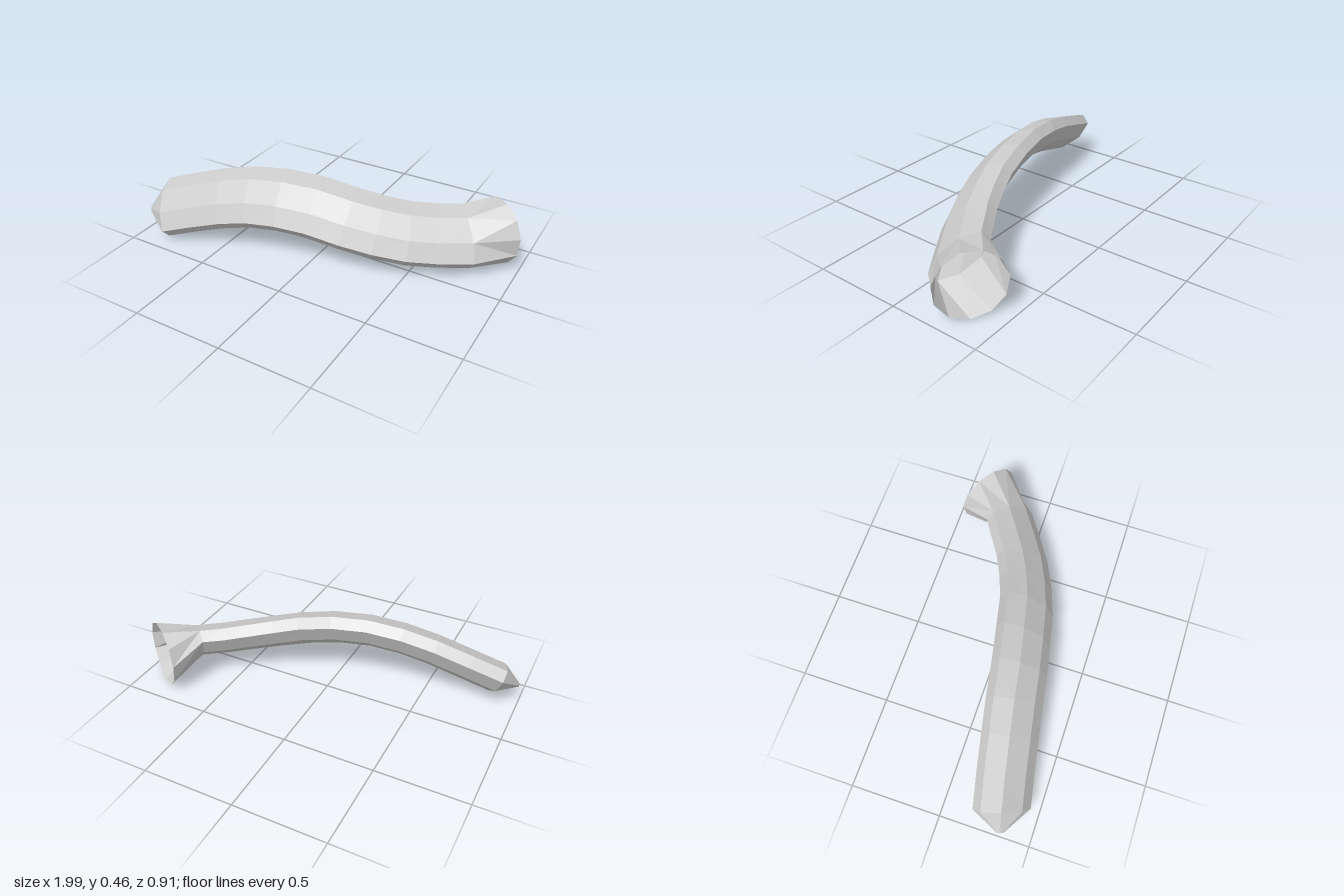
import * as THREE from 'three';

// Centre line from the blunt tip to the middle of the open mouth
const PATH = [
  [-0.988, 0.115, 0.337], [-0.875, 0.148, 0.31], [-0.7, 0.21, 0.272], [-0.52, 0.27, 0.237],
  [-0.355, 0.31, 0.205], [-0.18, 0.327, 0.175], [0, 0.318, 0.138], [0.18, 0.283, 0.1],
  [0.325, 0.25, 0.05], [0.47, 0.222, -0.015], [0.6, 0.206, -0.095], [0.725, 0.2, -0.175],
  [0.85, 0.183, -0.355],
].map((p) => new THREE.Vector3(...p));

const SIDES = 8;
const LONG = 0.18, THIN = 0.085; // half axes of the oval section
const TILT = THREE.MathUtils.degToRad(40);
const MOUTH_SIDES = 11, MOUTH_RADIUS = 0.183;
// Body corner that each mouth corner joins
const MOUTH_JOIN = [0, 0, 1, 1, 2, 2, 3, 4, 5, 6, 7];

// Tilted oval section, square to the centre line
function bodyRing(k, scale) {
  const tangent = PATH[k + 1].clone().sub(PATH[Math.max(k - 1, 0)]).normalize();
  const side = tangent.clone().cross(new THREE.Vector3(0, 1, 0)).normalize();
  const up = side.clone().cross(tangent);
  return Array.from({ length: SIDES }, (_, i) => {
    const t = ((i + 0.5) / SIDES) * Math.PI * 2;
    const l = LONG * scale * Math.cos(t), w = THIN * scale * Math.sin(t);
    return PATH[k].clone()
      .addScaledVector(side, -l * Math.cos(TILT) + w * Math.sin(TILT))
      .addScaledVector(up, l * Math.sin(TILT) + w * Math.cos(TILT));
  });
}

// Round upright rim of the mouth
function mouthRing() {
  const side = new THREE.Vector3(0.82, 0, 0.57).normalize();
  return Array.from({ length: MOUTH_SIDES }, (_, j) => {
    const a = THREE.MathUtils.degToRad(142 - (j * 360) / MOUTH_SIDES);
    const p = PATH[PATH.length - 1].clone().addScaledVector(side, MOUTH_RADIUS * Math.cos(a));
    p.y += MOUTH_RADIUS * Math.sin(a);
    return p;
  });
}

function facetedMesh(name, triangles) {
  const geometry = new THREE.BufferGeometry().setFromPoints(triangles);
  geometry.computeVertexNormals();
  const material = new THREE.MeshStandardMaterial({
    color: 0xcccccc, flatShading: true, side: THREE.DoubleSide,
  });
  const mesh = new THREE.Mesh(geometry, material);
  mesh.name = name;
  return mesh;
}

// Triangles between two rings with the same number of corners
function loft(a, b) {
  return a.flatMap((p, i) => {
    const n = (i + 1) % a.length;
    return [p, a[n], b[i], a[n], b[n], b[i]];
  });
}

export function createModel() {
  const group = new THREE.Group();
  group.name = 'curvedTube';
  const rings = PATH.slice(0, -1).map((_, k) => bodyRing(k, k === 0 ? 0.12 : 1));

  // Long bent body
  const body = [];
  for (let k = 1; k < rings.length - 1; k++) body.push(...loft(rings[k], rings[k + 1]));
  group.add(facetedMesh('body', body));

  // Tapered tip with a small closing face
  const tip = loft(rings[0], rings[1]);
  for (let i = 1; i < SIDES - 1; i++) tip.push(rings[0][0], rings[0][i + 1], rings[0][i]);
  group.add(facetedMesh('tip', tip));

  // Flared open mouth
  const neck = rings[rings.length - 1], rim = mouthRing(), flare = [];
  for (let j = 0; j < MOUTH_SIDES; j++) {
    const n = (j + 1) % MOUTH_SIDES;
    const a = neck[MOUTH_JOIN[j]], b = neck[MOUTH_JOIN[n]];
    if (a !== b) flare.push(a, b, rim[j]);
    flare.push(b, rim[n], rim[j]);
  }
  group.add(facetedMesh('flaredMouth', flare));
  return group;
}
